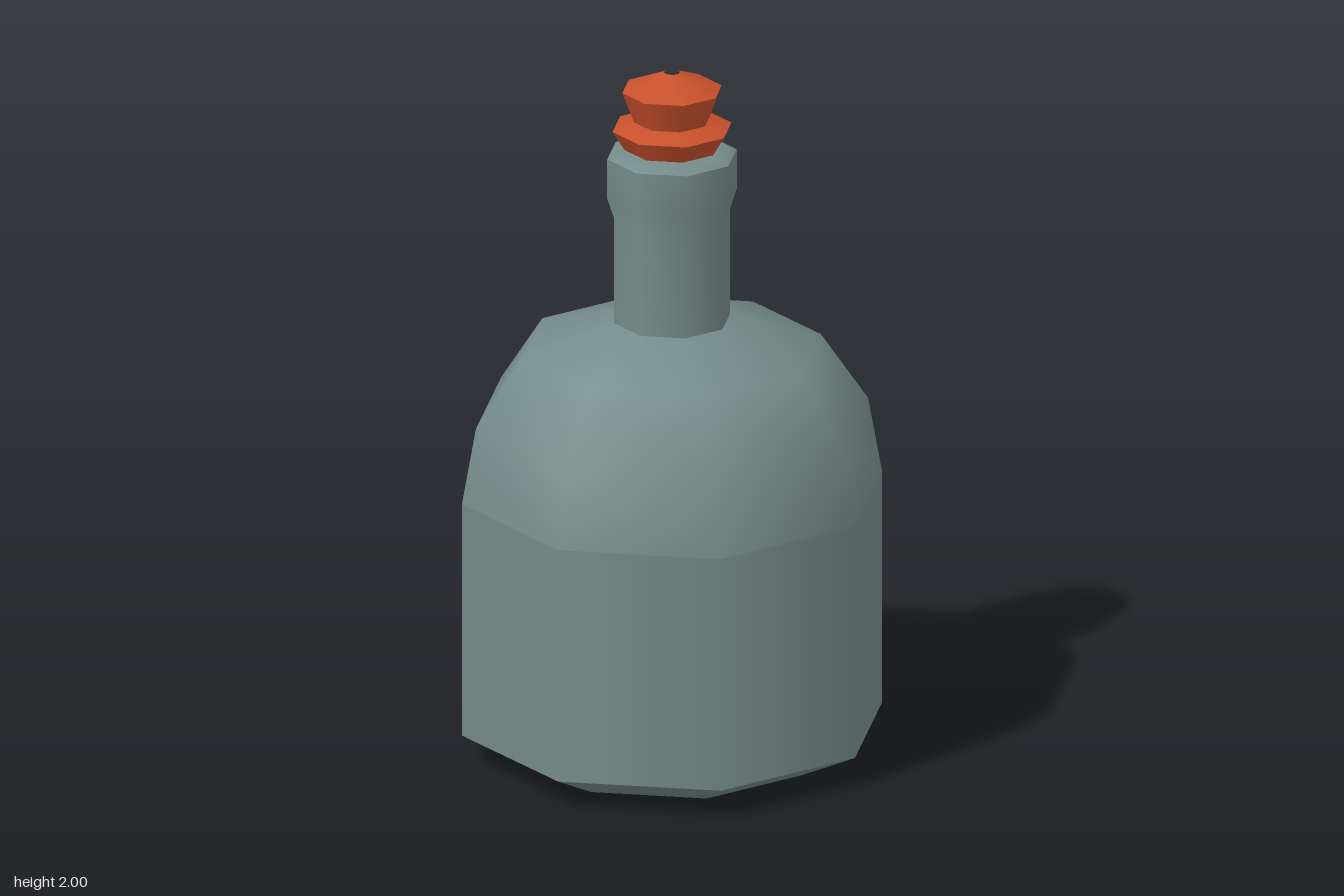
import * as THREE from 'three';

const SIDES = 8;
const glass = new THREE.MeshStandardMaterial({ color: 0x758c8a });
const cork = new THREE.MeshStandardMaterial({ color: 0xc8502c });
const dark = new THREE.MeshStandardMaterial({ color: 0x3a3838 });

// Octagonal band turned from [radius, height] points, smooth within the band
function band(name, points, material, start = 0, sides = SIDES) {
  const profile = points.map(([r, y]) => new THREE.Vector2(r, y));
  const step = (Math.PI * 2) / SIDES;
  const geometry = new THREE.LatheGeometry(profile, sides, start * step, sides * step);
  const mesh = new THREE.Mesh(geometry, material);
  mesh.name = name;
  return mesh;
}

export function createModel() {
  const model = new THREE.Group();
  model.name = 'corkedBottle';

  // Bottle body: flat base with a bevel, straight wall, rounded shoulder
  const bottle = new THREE.Group();
  bottle.name = 'bottle';
  const wall = [[0.6, 0.085], [0.6, 0.77]];
  bottle.add(
    band('base', [[0, 0], [0.425, 0], [0.6, 0.085]], glass),
    band('wall', wall, glass, 7, 6),
    band('label', wall, dark, 5, 2), // two dark sides of the octagon, facing -x
    band('shoulder', [[0.6, 0.77], [0.56, 0.99], [0.425, 1.19], [0.165, 1.27]], glass),
    // Neck with a thicker collar and a closed rim
    band('neck', [[0.165, 1.27], [0.165, 1.58], [0.185, 1.64], [0.185, 1.757]], glass),
    band('rim', [[0.185, 1.757], [0.145, 1.78], [0, 1.78]], glass),
  );

  // Stopper: flared lip below, tapered grip above, small hole in the top
  const stopper = new THREE.Group();
  stopper.name = 'stopper';
  const outline = [[0.135, 1.78], [0.17, 1.837], [0.108, 1.86], [0.142, 1.95], [0.023, 2]];
  const names = ['lipUnderside', 'lipTop', 'grip', 'crown'];
  names.forEach((name, i) => stopper.add(band(name, [outline[i], outline[i + 1]], cork)));

  model.add(bottle, stopper);
  return model;
}
